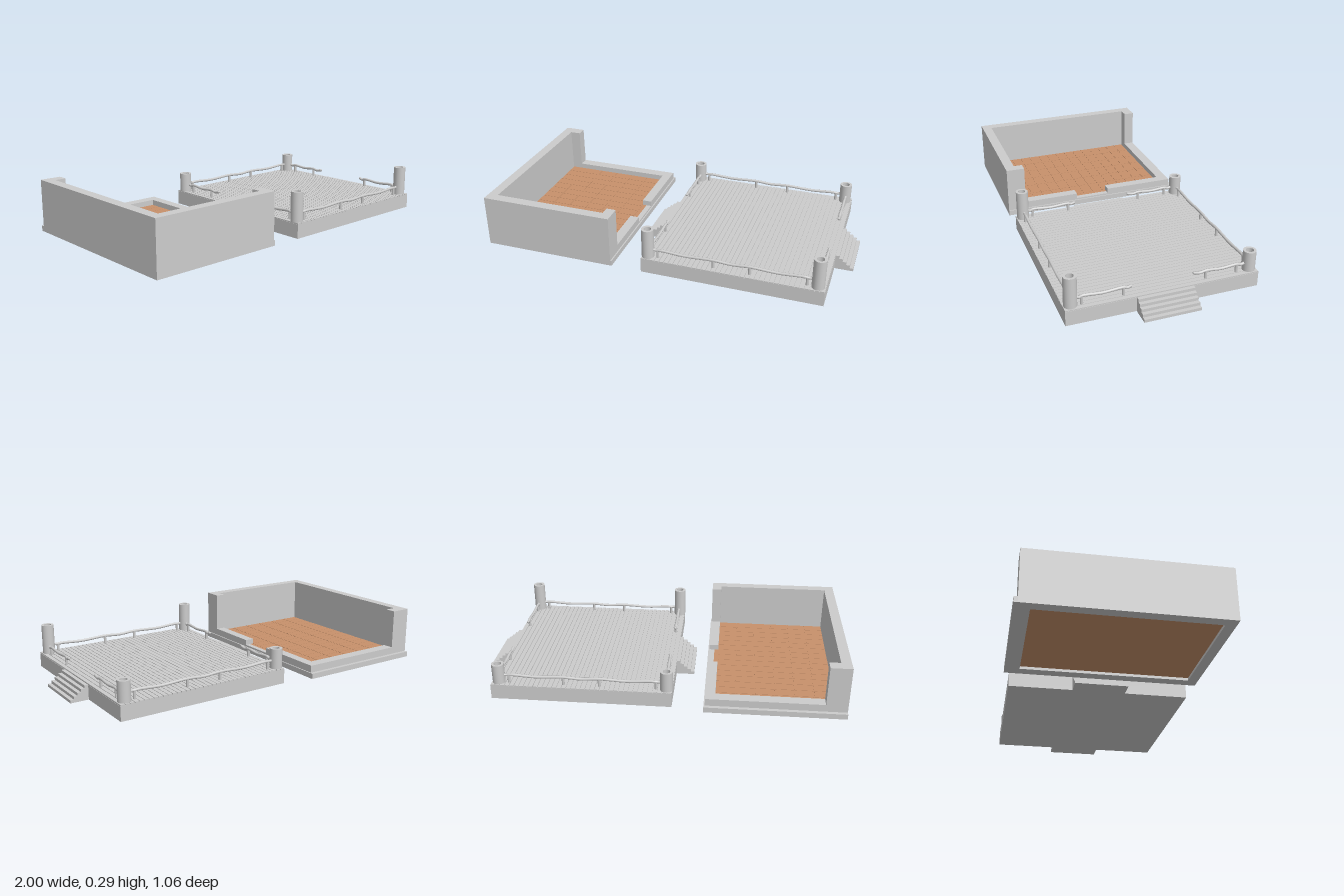
import * as THREE from 'three';

export function createModel() {
  const model = new THREE.Group();
  const stone = new THREE.MeshStandardMaterial({ name: 'pale grey stone', color: 0xcccccc });
  const clay = new THREE.MeshStandardMaterial({ name: 'terracotta', color: 0xc8916b });

  const add = (parent, name, geometry, material = stone) => {
    const mesh = new THREE.Mesh(geometry, material);
    mesh.name = name;
    parent.add(mesh);
    return mesh;
  };
  // box given by its limits on each axis
  const block = (parent, name, x0, x1, y0, y1, z0, z1, material) => {
    const mesh = add(parent, name, new THREE.BoxGeometry(x1 - x0, y1 - y0, z1 - z0), material);
    mesh.position.set((x0 + x1) / 2, (y0 + y1) / 2, (z0 + z1) / 2);
    return mesh;
  };
  const section = (name) => {
    const group = new THREE.Group();
    group.name = name;
    model.add(group);
    return group;
  };

  // ---- Walled room ----
  const room = section('room');
  const wallTop = 0.29, sillTop = 0.07, ledge = 0.03;
  block(room, 'leftWall', -1, -0.945, 0, wallTop, -0.51, 0.525);
  block(room, 'frontWall', -0.945, -0.257, 0, wallTop, 0.47, 0.525);
  block(room, 'frontWallReturn', -0.31, -0.257, ledge, wallTop, 0.42, 0.47);
  block(room, 'backWallReturn', -0.945, -0.885, ledge, wallTop, -0.51, -0.45);
  block(room, 'backPlinth', -1, -0.25, 0, ledge, -0.53, -0.45);
  block(room, 'sidePlinth', -0.31, -0.25, 0, ledge, -0.45, 0.525);
  block(room, 'backSill', -0.885, -0.257, ledge, sillTop, -0.51, -0.45);
  block(room, 'sideSillBack', -0.31, -0.257, ledge, sillTop, -0.45, -0.1);
  block(room, 'sideSillFront', -0.31, -0.257, ledge, sillTop, 0.1, 0.42);
  block(room, 'threshold', -0.287, -0.257, ledge, 0.04, -0.1, 0.1);

  // tiled floor with shallow joints
  block(room, 'floorBase', -0.945, -0.31, 0.015, 0.038, -0.45, 0.47, clay);
  block(room, 'doorwayFloor', -0.31, -0.287, ledge, 0.04, -0.1, 0.1, clay);
  const columns = 6, rows = 15, gap = 0.0015;
  const tileX = 0.635 / columns, tileZ = 0.92 / rows;
  for (let c = 0; c < columns; c++) {
    for (let r = 0; r < rows; r++) {
      const x = -0.945 + c * tileX, z = -0.45 + r * tileZ;
      block(room, 'floorTile', x + gap, x + tileX - gap, 0.038, 0.04, z + gap, z + tileZ - gap, clay);
    }
  }

  // ---- Raised deck ----
  const deck = section('deck');
  const x0 = -0.08, x1 = 0.9, z0 = -0.495, z1 = 0.525, top = 0.085;
  block(deck, 'deckBase', x0, x1, 0, 0.079, z0, z1);
  const planks = 38, pitch = (x1 - x0) / planks;
  for (let i = 0; i < planks; i++) {
    const x = x0 + i * pitch;
    block(deck, 'plank', x + 0.0015, x + pitch - 0.0015, 0.079, top, z0, z1);
  }

  // stairs on both sides, one stepped profile extruded along z
  const steps = 5, tread = 0.1 / steps, riser = 0.08 / steps;
  const profile = new THREE.Shape();
  profile.moveTo(0, 0);
  profile.lineTo(0.1, 0);
  for (let i = 0; i < steps; i++) {
    profile.lineTo(0.1 - i * tread, (i + 1) * riser);
    profile.lineTo(0.1 - (i + 1) * tread, (i + 1) * riser);
  }
  const stairGeometry = new THREE.ExtrudeGeometry(profile, { depth: 0.3, bevelEnabled: false });
  add(deck, 'leftStairs', stairGeometry).position.set(x1, 0, -0.135);
  const rightStairs = add(deck, 'rightStairs', stairGeometry);
  rightStairs.position.set(x0, 0, 0.165);
  rightStairs.rotation.y = Math.PI;

  // hollow-topped corner posts, taller at the front
  const corner = (x, z, height) => {
    const points = [
      [0.034, top], [0.034, height], [0.034, height], [0.02, height],
      [0.02, height], [0.02, height - 0.03], [0.02, height - 0.03], [0, height - 0.03],
    ].map(([r, y]) => new THREE.Vector2(r, y));
    add(deck, 'cornerPost', new THREE.LatheGeometry(points, 20)).position.set(x, 0, z);
  };
  const postX = [-0.05, 0.86];
  for (const x of postX) {
    corner(x, 0.488, 0.25);
    corner(x, -0.457, 0.195);
  }

  // gently sagging rail between two points, carried by small posts
  const rail = (name, from, to, supports) => {
    const a = new THREE.Vector3(from[0], 0.129, from[1]);
    const b = new THREE.Vector3(to[0], 0.129, to[1]);
    const stops = [0, ...supports, 1];
    const points = [];
    stops.forEach((t, i) => {
      points.push(a.clone().lerp(b, t));
      if (i < stops.length - 1) {
        const middle = a.clone().lerp(b, (t + stops[i + 1]) / 2);
        middle.y -= 0.006;
        points.push(middle);
      }
    });
    const curve = new THREE.CatmullRomCurve3(points);
    add(deck, name, new THREE.TubeGeometry(curve, 32, 0.008, 8));
    for (const end of [0, 1]) {
      const cap = add(deck, 'railEnd', new THREE.SphereGeometry(0.008, 8, 6));
      cap.position.copy(end ? b : a);
    }
    for (const t of supports) {
      const p = a.clone().lerp(b, t);
      const post = add(deck, 'railPost', new THREE.CylinderGeometry(0.008, 0.008, 0.044, 8));
      post.position.set(p.x, top + 0.022, p.z);
    }
  };
  rail('frontRail', [-0.02, 0.488], [0.83, 0.488], [0.03, 0.39, 0.62, 0.97]);
  rail('backRail', [-0.02, -0.457], [0.83, -0.457], [0.03, 0.39, 0.62, 0.97]);
  for (const x of [-0.045, 0.865]) {
    rail('sideRailFront', [x, 0.46], [x, 0.185], [0.1, 0.87]);
    rail('sideRailBack', [x, -0.43], [x, -0.15], [0.16, 0.77]);
  }

  return model;
}
